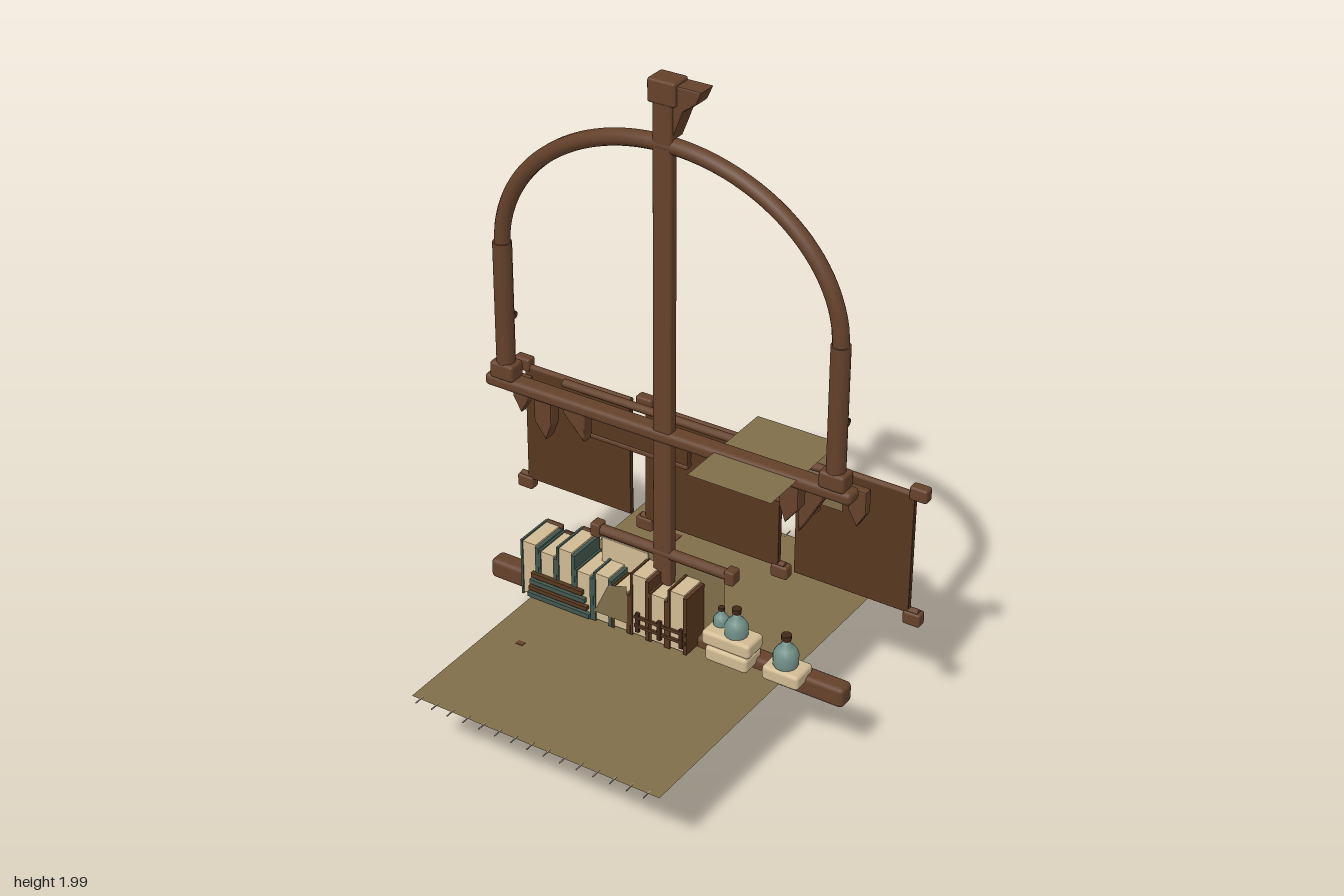
import * as THREE from 'three';
import { RoundedBoxGeometry } from 'three/addons/geometries/RoundedBoxGeometry.js';

const mat = (name, color, side = THREE.FrontSide) => {
  const m = new THREE.MeshStandardMaterial({ color, side });
  m.name = name;
  return m;
};

export function createModel() {
  const wood = mat('wood', 0x64412a);
  const leather = mat('leather', 0x57371f);
  const darkWood = mat('darkWood', 0x412818);
  const cloth = mat('cloth', 0x7f6e4a, THREE.DoubleSide);
  const paper = mat('paper', 0xd0ba92);
  const green = mat('greenCover', 0x43574e);
  const glass = mat('glass', 0x719189);
  const thread = mat('thread', 0xb09a80);

  const model = new THREE.Group();
  model.name = 'travelFrame';
  const add = (name, geo, material, x = 0, y = 0, z = 0, parent = model) => {
    const m = new THREE.Mesh(geo, material);
    m.name = name;
    m.position.set(x, y, z);
    parent.add(m);
    return m;
  };
  // boxes given by their extents
  const box = (name, m, x0, x1, y0, y1, z0, z1, r = 0) => {
    const s = [x1 - x0, y1 - y0, z1 - z0];
    const geo = r ? new RoundedBoxGeometry(...s, 2, r) : new THREE.BoxGeometry(...s);
    return add(name, geo, m, (x0 + x1) / 2, (y0 + y1) / 2, (z0 + z1) / 2);
  };
  const rodX = (name, x0, x1, y, z, r, m = wood) => {
    const geo = new THREE.CylinderGeometry(r, r, x1 - x0, 12).rotateZ(Math.PI / 2);
    return add(name, geo, m, (x0 + x1) / 2, y, z);
  };
  const rodY = (name, x, y0, y1, z, r, m = wood) =>
    add(name, new THREE.CylinderGeometry(r, r, y1 - y0, 14), m, x, (y0 + y1) / 2, z);
  const shape = pts => new THREE.Shape(pts.map(p => new THREE.Vector2(...p)));
  const slab = (name, pts, z0, z1, m, bevel = 0) => add(name, new THREE.ExtrudeGeometry(shape(pts), {
    depth: z1 - z0 - 2 * bevel, bevelEnabled: bevel > 0, bevelSize: bevel,
    bevelThickness: bevel, bevelOffset: -bevel, bevelSegments: 2,
  }), m, 0, 0, z0 + bevel);
  const sheet = (name, pts, z, m) => add(name, new THREE.ShapeGeometry(shape(pts)), m, 0, 0, z);

  // mast with carved head and keel
  box('mast', wood, -0.03, 0.03, 0.2, 1.96, -0.035, 0, 0.008);
  box('mastCap', wood, -0.045, 0.042, 1.93, 2, -0.068, 0.002, 0.008);
  slab('mastHead', [[-0.03, 1.99], [-0.03, 1.88], [-0.015, 1.84], [0.025, 1.83], [0.045, 1.88],
    [0.06, 1.92], [0.1, 1.95], [0.118, 1.99]], -0.07, -0.01, wood, 0.006);
  slab('keel', [[-0.036, 0.26], [-0.03, 0.08], [-0.012, 0.025], [0.012, 0.018], [0.028, 0.07],
    [0.036, 0.26]], -0.19, 0.003, wood, 0.008);
  box('keelPlate', wood, -0.06, 0.06, 0.265, 0.292, -0.21, -0.03, 0.01);

  // arch over two posts
  const arc = [];
  for (let i = 0; i <= 24; i++) {
    const a = Math.PI * i / 24;
    arc.push(new THREE.Vector3(0.545 * Math.cos(a), 1.37 + 0.443 * Math.sin(a), -0.022));
  }
  add('arch', new THREE.TubeGeometry(new THREE.CatmullRomCurve3(arc), 56, 0.024, 10), wood);
  box('crossBar', wood, -0.608, 0.605, 0.903, 0.943, -0.054, 0.005, 0.015);
  box('shelf', wood, -0.612, 0.608, 0.228, 0.294, -0.056, 0.004, 0.015);

  for (const s of [-1, 1]) {
    rodY('post', s * 0.545, 0.94, 1.375, -0.022, 0.028);
    box('postCollar', wood, s * 0.545 - 0.04, s * 0.545 + 0.04, 0.938, 0.992, -0.052, 0.008, 0.01);
    rodX('postPeg', s * 0.545 - 0.02, s * 0.545 + 0.02, 1.135, -0.045, 0.012, darkWood);
    // hanging teeth and brackets
    const tooth = (x, top, w, h, z0, z1, lean = 0) => slab('hangingTooth',
      [[x - w, top], [x - w, top - h * 0.6], [x + lean, top - h], [x + w, top - h * 0.6], [x + w, top]],
      z0, z1, wood, 0.006);
    tooth(s * 0.41, 0.91, 0.03, 0.13, -0.05, -0.005, -s * 0.01);
    tooth(s * 0.565, 0.885, 0.028, 0.12, -0.142, -0.112);
    slab('bracket', [[s * 0.44, 0.83], [s * 0.44, 0.79], [s * 0.365, 0.66 + (s < 0 ? 0.05 : 0)],
      [s * 0.36, 0.83]], -0.188, -0.145, wood, 0.006);
    box('rodEnd', wood, s * 0.568 - 0.022, s * 0.568 + 0.022, 0.835, 0.86, -0.145, -0.118, 0.006);
    // rolled flaps under the rear rod
    slab('flap', [[s * 0.035, 0.81], [s * 0.42, 0.81], [s * 0.385, 0.7], [s * 0.04, 0.7]],
      -0.225, -0.2, leather, 0.006);
    box('flapHem', wood, s > 0 ? 0.04 : -0.39, s > 0 ? 0.39 : -0.04, 0.695, 0.712, -0.23, -0.197, 0.006);
  }
  rodX('hangingRod', -0.585, 0.585, 0.848, -0.131, 0.009);
  rodX('rearRod', -0.485, 0.485, 0.838, -0.222, 0.013);

  // three framed leather screens
  for (const [x0, x1, k] of [[-0.66, -0.285, [-0.672]], [-0.23, 0.23, [-0.235, 0.235]], [0.285, 0.66, [0.672]]]) {
    box('screen', leather, x0, x1, 0.425, 0.812, -0.283, -0.27);
    const r0 = x0 < -0.6 ? -0.69 : x0 - 0.02, r1 = x1 > 0.6 ? 0.69 : x1 + 0.02;
    const a = x0 > 0.2 ? x0 : r0, b = x1 < -0.2 ? x1 : r1;
    for (const y of [0.427, 0.812]) rodX('screenRail', a, b, y, -0.28, 0.01);
    for (const x of [x0 + 0.006, x1 - 0.006]) rodY('screenEdge', x, 0.425, 0.812, -0.279, 0.009, darkWood);
    for (const x of k) for (const y of [0.405, 0.822]) {
      box('railKnob', wood, x - 0.028, x + 0.028, y - 0.022, y + 0.022, -0.3, -0.264, 0.008);
    }
    const c = (x0 + x1) / 2;
    for (const [dx, y, w] of [[-0.1, 0.7, 0.02], [0.08, 0.58, 0.025], [0.02, 0.5, 0.014]]) {
      box('wornPatch', wood, c + dx - w, c + dx + w, y - 0.012, y + 0.012, -0.286, -0.283);
    }
  }

  // hanging scroll below its rod
  rodX('scrollRod', -0.235, 0.235, 0.533, -0.015, 0.017);
  for (const x of [-0.228, 0.228]) box('scrollRodEnd', wood, x - 0.016, x + 0.016, 0.51, 0.556, -0.035, 0.005, 0.006);
  sheet('scroll', [[-0.19, 0.52], [0.195, 0.52], [0.21, 0.06], [0.14, 0.01], [0.05, 0.025], [-0.1, 0.025],
    [-0.19, 0.01]], -0.03, cloth);
  sheet('scrollUnderlay', [[-0.23, 0.5], [0, 0.5], [0, 0.09], [-0.23, 0.11]], -0.036, cloth);
  box('scrollPage', paper, -0.22, -0.06, 0.3, 0.5, -0.027, -0.022);

  // ground cloth with fringe
  const ground = shape([[-0.42, -0.64], [0.41, -0.64], [0.425, 0.55], [0.39, 0.64], [-0.42, 0.64]]);
  add('groundCloth', new THREE.ShapeGeometry(ground).rotateX(-Math.PI / 2), cloth, 0, 0.261, 0);
  for (let i = 0; i < 15; i++) for (const s of [-1, 1]) {
    const x = -0.39 + i * 0.0545;
    box('fringe', thread, x - 0.0015, x + 0.0015, 0.2595, 0.2625, s * 0.645 - 0.017, s * 0.645 + 0.017);
  }
  for (const [x, z, w] of [[-0.245, -0.44, 0.025], [-0.31, 0.27, 0.012]]) {
    box('stain', wood, x - w, x + w, 0.261, 0.263, z - w * 0.7, z + w * 0.7);
  }

  // awning folded over the rear
  const fold = [[0.14, 0.935], [-0.23, 0.935], [-0.262, 0.875], [-0.262, 0.69]];
  const awning = new THREE.PlaneGeometry(0.265, 1, 1, 3);
  const ap = awning.attributes.position;
  for (let i = 0; i < ap.count; i++) {
    const [z, y] = fold[Math.floor(i / 2)];
    ap.setXYZ(i, ap.getX(i), y, z);
  }
  const flatAwning = awning.toNonIndexed();
  flatAwning.computeVertexNormals();
  add('awning', flatAwning, cloth, 0.3075, 0, 0);

  // row of books, page edges forward
  const heights = [0.455, 0.44, 0.475, 0.42, 0.435, 0.41, 0.48, 0.435, 0.47];
  heights.forEach((h, i) => {
    const x = -0.448 + i * 0.0645, cover = i < 5 ? green : leather;
    box('pages', paper, x + 0.003, x + 0.048, 0.27, h - 0.004, -0.06, 0.06);
    box('coverLeft', cover, x - 0.004, x + 0.003, 0.265, h, -0.066, 0.064);
    box('coverRight', cover, x + 0.048, x + 0.06, 0.265, h - 0.01, -0.066, 0.064);
    box('spine', i % 2 ? darkWood : leather, x - 0.004, x + 0.058, 0.265, h, -0.076, -0.06, 0.005);
    for (const y of [0.31, 0.37]) box('spineBand', green, x, x + 0.054, y, y + 0.01, -0.08, -0.076);
  });
  // straps and small stack against the books
  [[0.27, 0.285, green], [0.295, 0.308, leather], [0.318, 0.333, green], [0.343, 0.358, leather]].forEach(([y0, y1, m], i) =>
    box('strap', m, -0.425 + i * 0.005, -0.205 - i * 0.008, y0, y1, 0.06, 0.074));
  for (const y of [0.3, 0.33]) box('bookTie', leather, -0.05, 0.125, y, y + 0.009, 0.058, 0.068);
  for (const x of [-0.045, 0.03, 0.105]) box('tieKnot', darkWood, x, x + 0.012, 0.285, 0.35, 0.06, 0.07);
  sheet('looseLeaf', [[-0.19, 0.3], [-0.075, 0.3], [-0.075, 0.43], [-0.14, 0.41]], 0.066, cloth);

  // padded trays with bottles
  box('tray', paper, 0.185, 0.325, 0.27, 0.32, -0.03, 0.06, 0.012);
  box('trayTop', paper, 0.17, 0.33, 0.318, 0.366, -0.03, 0.055, 0.012);
  box('smallTray', paper, 0.368, 0.488, 0.27, 0.318, -0.04, 0.05, 0.012);
  const bottle = (x, y, z, s) => {
    const g = new THREE.Group();
    g.name = 'bottle';
    g.position.set(x, y, z);
    g.scale.setScalar(s);
    model.add(g);
    const profile = [[0, 0], [0.03, 0], [0.036, 0.012], [0.036, 0.045], [0.026, 0.062], [0.013, 0.075],
      [0.012, 0.09], [0, 0.09]].map(p => new THREE.Vector2(...p));
    add('bottleGlass', new THREE.LatheGeometry(profile, 16), glass, 0, 0, 0, g);
    add('stopper', new THREE.CylinderGeometry(0.015, 0.014, 0.016, 12), darkWood, 0, 0.096, 0, g);
  };
  bottle(0.265, 0.355, 0.015, 0.95);
  bottle(0.202, 0.355, -0.005, 0.65);
  bottle(0.425, 0.312, 0.008, 1.05);

  // pegs under the rear of the shelf
  for (let i = 0; i < 6; i++) {
    const x = -0.5 + i * 0.09;
    box('shelfPeg', darkWood, x - 0.012, x + 0.012, 0.215, 0.25, -0.066, -0.045, 0.005);
  }
  return model;
}
